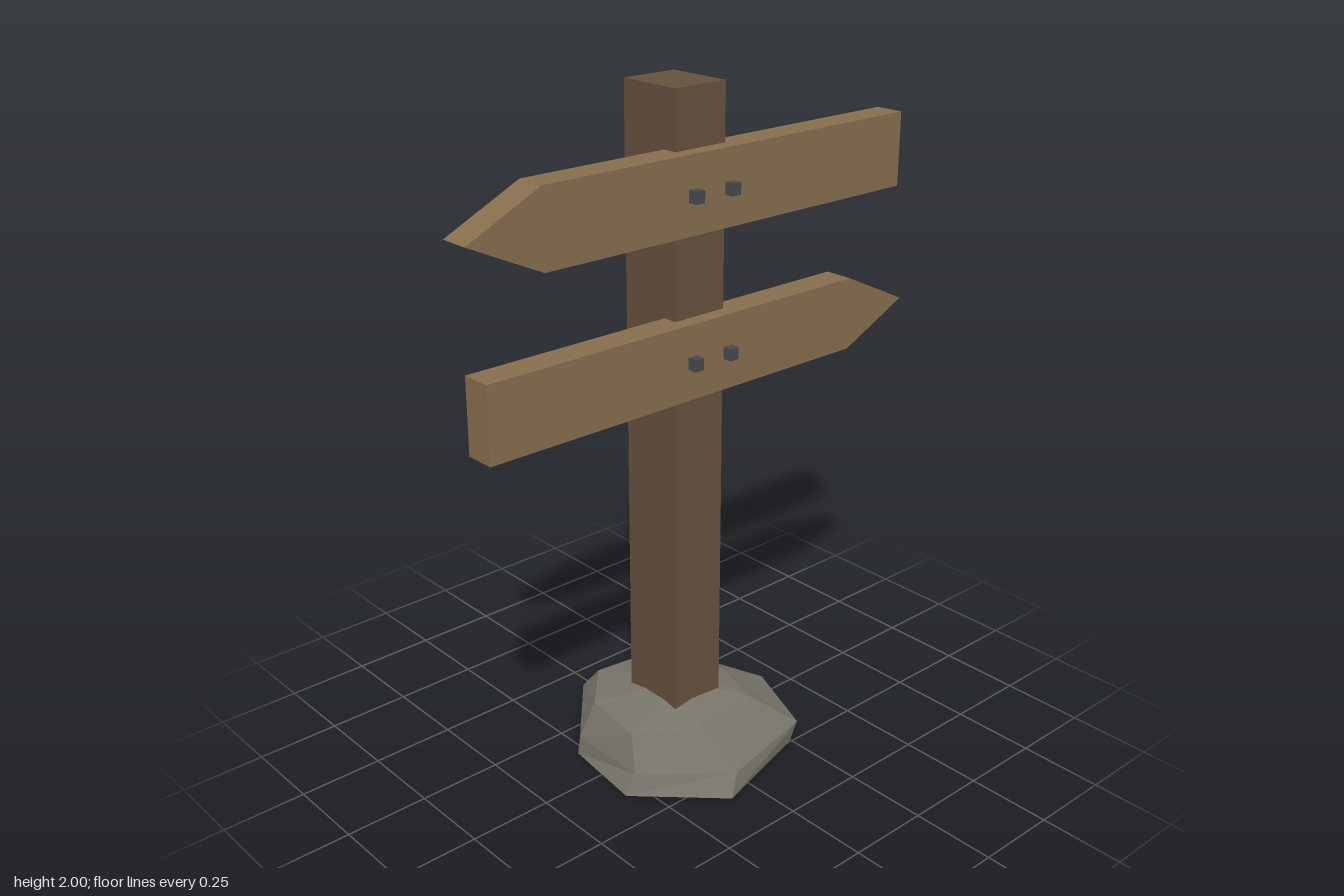
import * as THREE from 'three';

const paint = (color, flatShading = false) => {
  const m = new THREE.MeshStandardMaterial({ flatShading });
  m.color.set(color);
  return m;
};
const postWood = paint(0x65503c);
const boardWood = paint(0x866d4d);
const stone = paint(0x77746a, true);
const iron = paint(0x46494c);

function add(parent, name, geometry, material, x = 0, y = 0, z = 0) {
  const mesh = new THREE.Mesh(geometry, material);
  mesh.name = name;
  mesh.position.set(x, y, z);
  parent.add(mesh);
  return mesh;
}

// Faceted rock: stacked rings of [x, y, z] corners, closed at both ends
function rockGeometry(rings, bottom, top) {
  const pos = [];
  const tri = (...corners) => corners.forEach((c) => pos.push(...c));
  const n = rings[0].length;
  const last = rings[rings.length - 1];
  for (let i = 0; i < n; i++) {
    const j = (i + 1) % n;
    for (let r = 0; r < rings.length - 1; r++) {
      const a = rings[r], b = rings[r + 1];
      tri(a[i], b[i], a[j]);
      tri(b[i], b[j], a[j]);
    }
    tri(rings[0][i], rings[0][j], bottom);
    tri(last[i], top, last[j]);
  }
  const g = new THREE.BufferGeometry();
  g.setAttribute('position', new THREE.Float32BufferAttribute(pos, 3));
  g.computeVertexNormals();
  return g;
}

// Pointed board; dir is the side the tip points to
function boardGeometry(dir) {
  const pts = [[-0.73, -0.107], [0.545, -0.107], [0.77, 0], [0.545, 0.107], [-0.73, 0.107]];
  const shape = new THREE.Shape(pts.map(([x, y]) => new THREE.Vector2(x * dir, y)));
  return new THREE.ExtrudeGeometry(shape, { depth: 0.088, bevelEnabled: false });
}

export function createModel() {
  const model = new THREE.Group();
  model.name = 'signpost';

  // Square post
  add(model, 'post', new THREE.BoxGeometry(0.174, 2, 0.2), postWood, 0, 1, -0.006);

  // Two boards pointing opposite ways, each with a pair of bolts
  const bolt = new THREE.BoxGeometry(0.03, 0.034, 0.03);
  for (const [name, y, dir] of [['upper', 1.732, -1], ['lower', 1.278, 1]]) {
    const sign = new THREE.Group();
    sign.name = `${name}Sign`;
    sign.position.y = y;
    add(sign, `${name}Board`, boardGeometry(dir), boardWood, 0, 0, 0.051);
    for (const x of [-0.065, 0.062]) add(sign, `${name}Bolt`, bolt, iron, x, 0, 0.152);
    model.add(sign);
  }

  // Irregular stone base
  const foot = [[0.36, 0], [0.24, 0.25], [-0.09, 0.343], [-0.31, 0.13], [-0.28, -0.13], [-0.09, -0.34], [0.255, -0.26]]
    .map(([x, z]) => [x, 0.002, z]);
  const belly = [[0.37, -0.005], [0.27, 0.25], [-0.05, 0.32], [-0.275, 0.13], [-0.275, -0.125], [-0.088, -0.343], [0.27, -0.265]]
    .map(([x, z]) => [x, 0.062, z]);
  const shoulder = [[0.205, 0.155, -0.01], [0.15, 0.16, 0.155], [-0.08, 0.16, 0.195], [-0.245, 0.16, 0.08],
    [-0.22, 0.16, -0.12], [-0.088, 0.152, -0.265], [0.15, 0.155, -0.23]];
  const crown = shoulder.map((_, i) => {
    const a = (i / 7) * Math.PI * 2;
    return [Math.cos(a) * 0.1, 0.192, Math.sin(a) * 0.1];
  });
  add(model, 'stoneBase', rockGeometry([foot, belly, shoulder, crown], [0, 0.002, 0], [0, 0.2, 0]), stone);

  return model;
}
